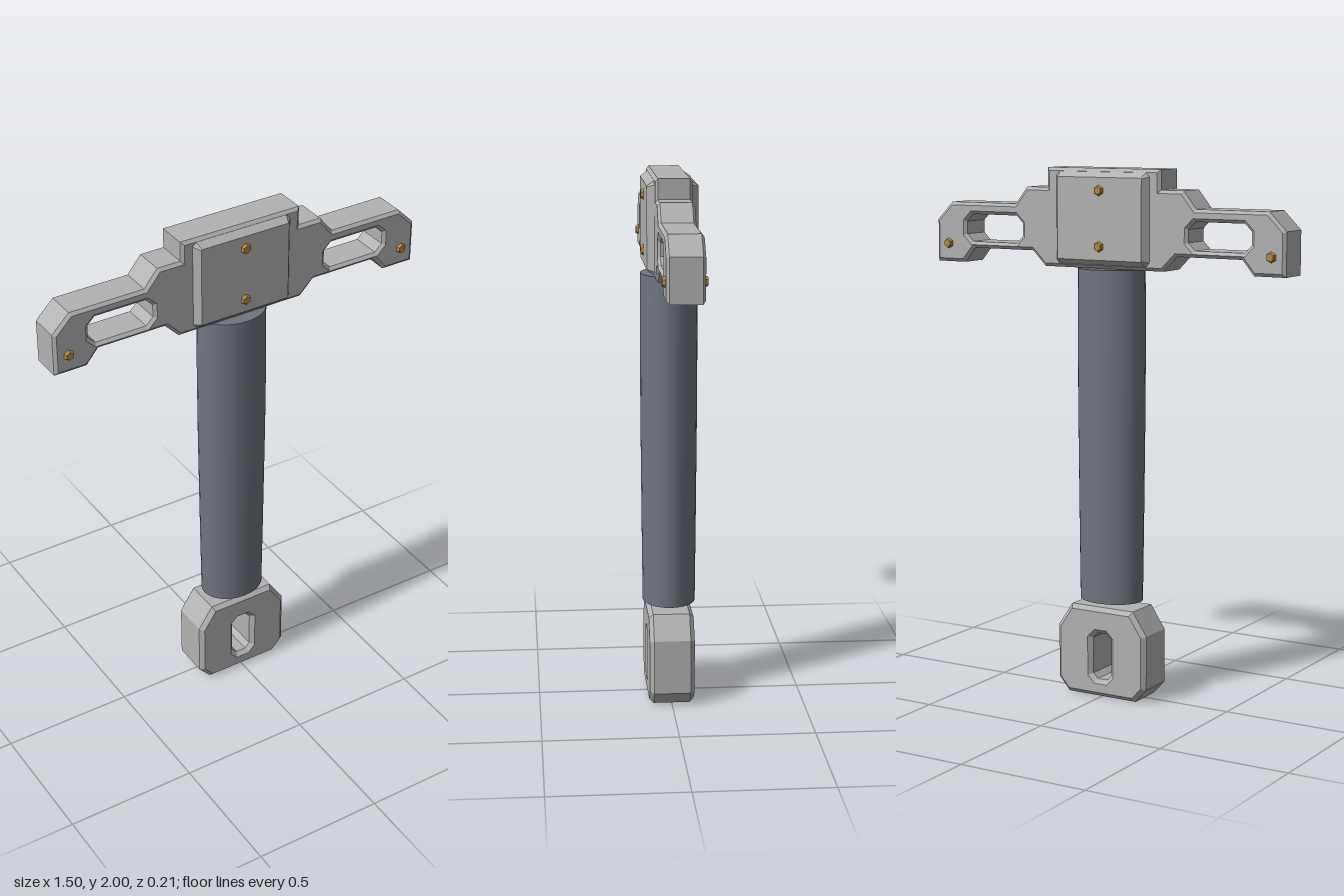
import * as THREE from 'three';

const steel = new THREE.MeshStandardMaterial({ color: 0xb3b3b3 });
steel.name = 'light steel';
const wrap = new THREE.MeshStandardMaterial({ color: 0x70757f });
wrap.name = 'dark grip';
const brass = new THREE.MeshStandardMaterial({ color: 0xb88a3c });
brass.name = 'brass';

const points = (list) => list.map(([x, y]) => new THREE.Vector2(x, y));

// Closed outline from its right half, listed top to bottom
const mirrored = (half) => points([...half, ...half.slice().reverse().map(([x, y]) => [-x, y])]);

// Rectangle with cut corners
function cutRect(x0, x1, y0, y1, c) {
  return points([
    [x0 + c, y0], [x1 - c, y0], [x1, y0 + c], [x1, y1 - c],
    [x1 - c, y1], [x0 + c, y1], [x0, y1 - c], [x0, y0 + c],
  ]);
}

// Bevelled plate centred on z = 0; the outline is its widest section
function plate(name, outline, holes, halfDepth, bevelSize, bevelThickness) {
  const shape = new THREE.Shape(outline);
  holes.forEach((h) => shape.holes.push(new THREE.Path(h)));
  const depth = 2 * (halfDepth - bevelThickness);
  const geometry = new THREE.ExtrudeGeometry(shape, {
    depth, bevelEnabled: true, bevelSegments: 1, bevelSize, bevelThickness, bevelOffset: -bevelSize,
  });
  geometry.translate(0, 0, -depth / 2);
  const mesh = new THREE.Mesh(geometry, steel);
  mesh.name = name;
  return mesh;
}

export function createModel() {
  const model = new THREE.Group();
  model.name = 'hilt';

  // Stepped crossguard with a slot in each arm
  const guardHalf = [
    [0.243, 2.0], [0.243, 1.926], [0.335, 1.926], [0.388, 1.861], [0.68, 1.861], [0.748, 1.793],
    [0.748, 1.632], [0.622, 1.632], [0.575, 1.688], [0.31, 1.688], [0.255, 1.632],
  ];
  model.add(plate('crossguard', mirrored(guardHalf), [
    cutRect(0.356, 0.612, 1.712, 1.816, 0.028),
    cutRect(-0.612, -0.356, 1.712, 1.816, 0.028),
  ], 0.067, 0.012, 0.01));

  // Raised central block
  model.add(plate('centreBlock', cutRect(-0.2, 0.2, 1.645, 1.988, 0.015), [], 0.093, 0.02, 0.027));

  // Oval grip with a slight taper
  const profile = points([[0, 0.37], [0.125, 0.37], [0.125, 0.37], [0.129, 0.7], [0.133, 1.1],
    [0.134, 1.4], [0.132, 1.63], [0.132, 1.63], [0, 1.63]]);
  const barrel = new THREE.LatheGeometry(profile.slice(2, 7), 32);
  const grip = new THREE.Group();
  grip.name = 'grip';
  const side = new THREE.Mesh(barrel, wrap);
  side.name = 'gripSide';
  grip.add(side);
  [[0.37, 0.125, 1], [1.63, 0.132, -1]].forEach(([y, r, turn]) => {
    const cap = new THREE.Mesh(new THREE.CircleGeometry(r, 32), wrap);
    cap.name = 'gripEnd';
    cap.rotation.x = turn * Math.PI / 2;
    cap.position.y = y;
    grip.add(cap);
  });
  grip.scale.z = 0.8;
  model.add(grip);

  // Pommel with an upright slot
  const pommelHalf = [[0.134, 0.348], [0.193, 0.26], [0.193, 0.052], [0.147, 0]];
  model.add(plate('pommel', mirrored(pommelHalf),
    [cutRect(-0.04, 0.04, 0.066, 0.246, 0.02)], 0.085, 0.016, 0.016));

  // Hexagonal rivets on both faces
  const rivetGeometry = new THREE.CylinderGeometry(0.015, 0.022, 0.014, 6).toNonIndexed();
  rivetGeometry.computeVertexNormals();
  const spots = [[0, 1.92, 0.097], [0, 1.715, 0.097], [0.693, 1.702, 0.071], [-0.693, 1.702, 0.071]];
  for (const face of [1, -1]) {
    for (const [x, y, z] of spots) {
      const rivet = new THREE.Mesh(rivetGeometry, brass);
      rivet.name = 'rivet';
      rivet.position.set(x, y, z * face);
      rivet.rotation.x = face * Math.PI / 2;
      model.add(rivet);
    }
  }
  return model;
}
